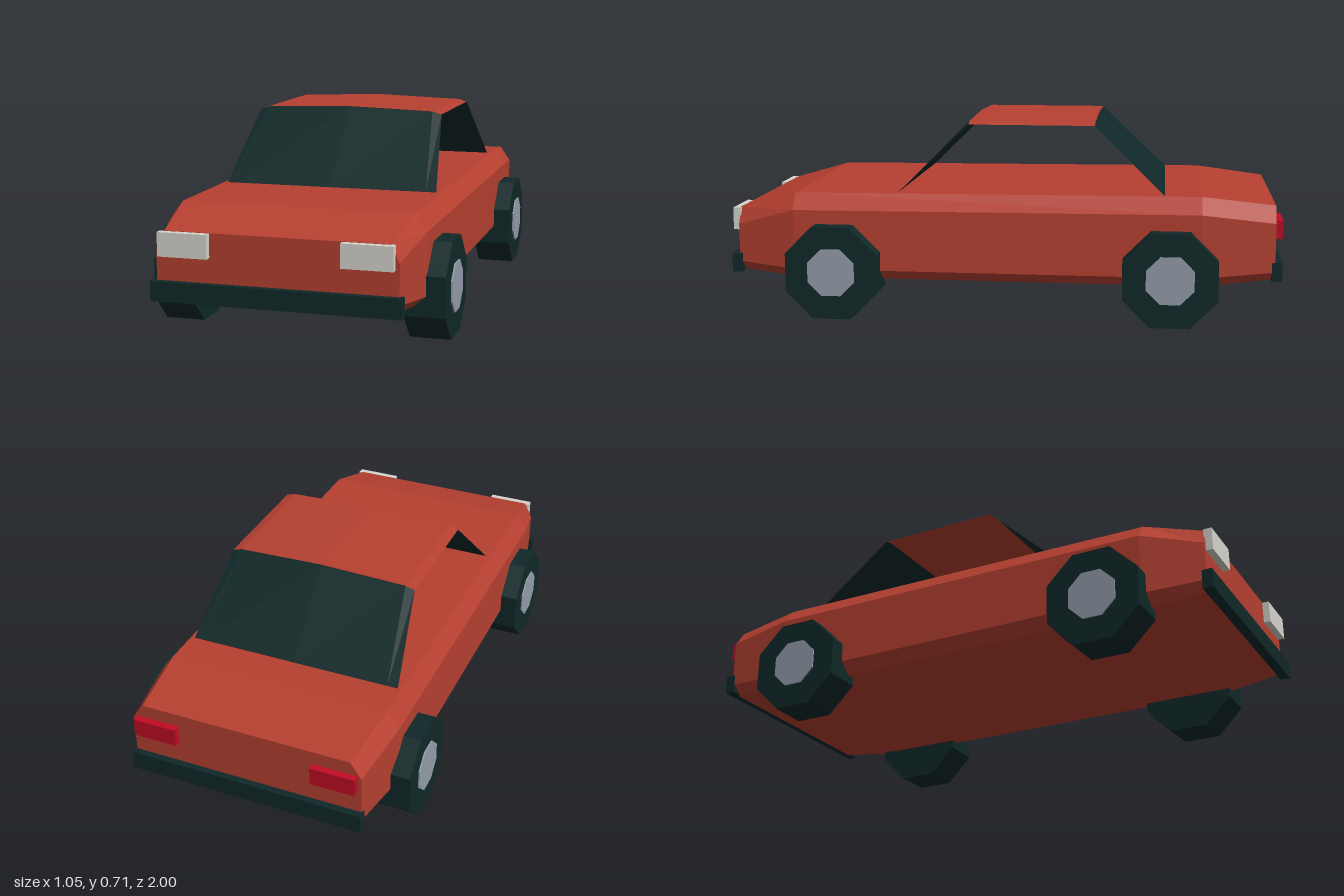
import * as THREE from 'three';

const mat = (name, color, side = THREE.FrontSide) => {
  const m = new THREE.MeshStandardMaterial({ color, flatShading: true, side });
  m.name = name;
  return m;
};

// Surface through rows of points (front row to back row), optionally closed and capped
function loft(rows, closed = false) {
  const n = rows[0].length, pos = [];
  const tri = (...pts) => pts.forEach((p) => pos.push(...p));
  for (let r = 0; r < rows.length - 1; r++) {
    const a = rows[r], b = rows[r + 1];
    for (let i = 0; i < (closed ? n : n - 1); i++) {
      const j = (i + 1) % n;
      tri(a[i], a[j], b[j]);
      tri(a[i], b[j], b[i]);
    }
  }
  if (closed) {
    const f = rows[0], e = rows[rows.length - 1];
    for (let i = 1; i < n - 1; i++) {
      tri(f[0], f[i + 1], f[i]);
      tri(e[0], e[i], e[i + 1]);
    }
  }
  const g = new THREE.BufferGeometry();
  g.setAttribute('position', new THREE.Float32BufferAttribute(pos, 3));
  g.computeVertexNormals();
  return g;
}

export function createModel() {
  const car = new THREE.Group();
  car.name = 'car';
  const paint = mat('red paint', 0xb64031, THREE.DoubleSide);
  const dark = mat('dark glass and rubber', 0x102828, THREE.DoubleSide);
  const lamp = mat('headlight white', 0xd6d4cd);
  const red = mat('tail light red', 0xc00c24);
  const metal = mat('hub grey', 0x949daa);

  const add = (name, geometry, material, x = 0, y = 0, z = 0, parent = car) => {
    const m = new THREE.Mesh(geometry, material);
    m.name = name;
    m.position.set(x, y, z);
    parent.add(m);
    return m;
  };

  // Lower body: chamfered eight-sided sections
  const section = (z, topX, sideX, top, shoulder, low, bottom) => [
    [-sideX, low, z], [-sideX, shoulder, z], [-topX, top, z], [topX, top, z],
    [sideX, shoulder, z], [sideX, low, z], [topX, bottom, z], [-topX, bottom, z],
  ];
  add('body', loft([
    section(0.975, 0.385, 0.415, 0.383, 0.323, 0.185, 0.152),
    section(0.76, 0.41, 0.455, 0.444, 0.386, 0.168, 0.13),
    section(-0.715, 0.41, 0.455, 0.454, 0.395, 0.168, 0.13),
    section(-0.975, 0.385, 0.425, 0.424, 0.365, 0.19, 0.158),
  ], true), paint);

  // Cabin: arched roof and two windows, open at the sides
  const arch = [[-0.355, 0.695], [-0.32, 0.705], [0, 0.715], [0.32, 0.705], [0.355, 0.695]];
  const roofRow = (z) => arch.map(([x, y]) => [x, y, z]);
  const sillRow = (y, z) => arch.map(([x]) => [x * 0.395 / 0.355, y, z]);
  add('roof', loft([roofRow(0.128), roofRow(-0.33)]), paint);
  add('windshield', loft([sillRow(0.447, 0.383), roofRow(0.128)]), dark);
  add('rearWindow', loft([roofRow(-0.33), sillRow(0.453, -0.583)]), dark);

  // Bumpers
  const bumper = new THREE.BoxGeometry(0.86, 0.068, 0.036);
  add('frontBumper', bumper, dark, 0, 0.181, 0.982);
  add('rearBumper', bumper, dark, 0, 0.192, -0.982);

  // Lights and wheels, mirrored left and right
  const headlight = new THREE.BoxGeometry(0.174, 0.082, 0.03);
  const tailLight = new THREE.BoxGeometry(0.16, 0.066, 0.03);
  const octagon = (flat, width) =>
    new THREE.CylinderGeometry(flat / Math.cos(Math.PI / 8), flat / Math.cos(Math.PI / 8), width, 8, 1, false, Math.PI / 8)
      .rotateZ(Math.PI / 2);
  const tire = octagon(0.168, 0.143), hub = octagon(0.085, 0.02);
  for (const [side, s] of [['left', 1], ['right', -1]]) {
    add(side + 'Headlight', headlight, lamp, s * 0.314, 0.341, 0.985);
    add(side + 'TailLight', tailLight, red, s * 0.33, 0.342, -0.985);
    for (const [end, z] of [['Front', 0.607], ['Rear', -0.607]]) {
      const wheel = new THREE.Group();
      wheel.name = side + end + 'Wheel';
      wheel.position.set(s * 0.447, 0.168, z);
      car.add(wheel);
      add('tire', tire, dark, 0, 0, 0, wheel);
      add('hub', hub, metal, s * 0.067, 0.003, 0, wheel);
    }
  }
  return car;
}
